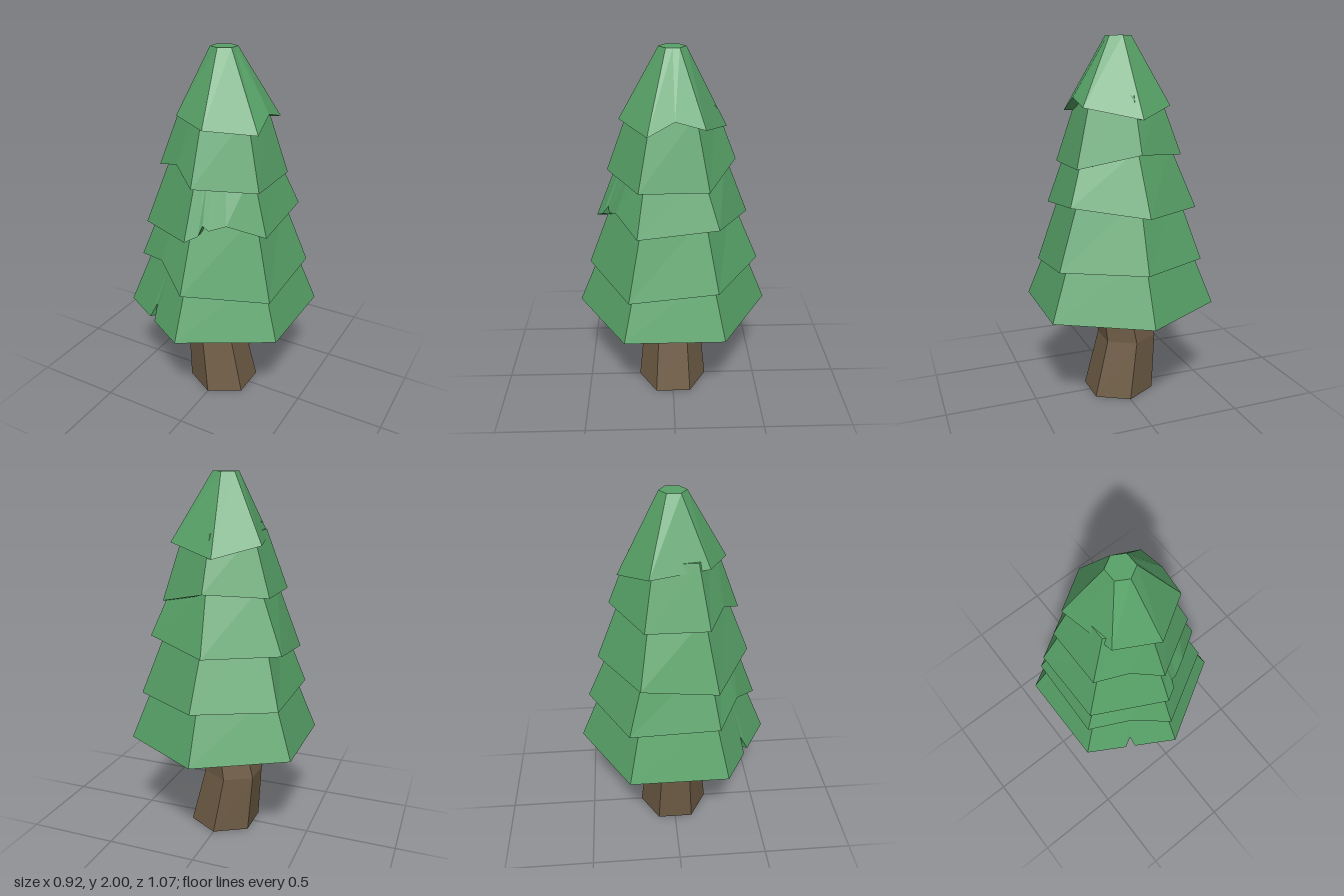
import * as THREE from 'three';

const leafMat = new THREE.MeshStandardMaterial({ color: 0x57a167, flatShading: true, roughness: 1 });
const barkMat = new THREE.MeshStandardMaterial({ color: 0x6e5c45, flatShading: true, roughness: 1 });

// Point on a hexagon outline; u runs 0..6 from the front corner (+z) towards +x
function hex(u, r, y, cx = 0, cz = 0) {
  const corner = k => new THREE.Vector3(Math.sin(k * Math.PI / 3) * r + cx, y, Math.cos(k * Math.PI / 3) * r + cz);
  const k = Math.floor(u);
  return corner(k).lerp(corner(k + 1), u - k);
}

// Skin closed rings in order (an upward order faces outwards)
function loft(name, rings, material) {
  const pos = [];
  const tri = (a, b, c) => {
    const area = b.clone().sub(a).cross(c.clone().sub(a)).length();
    if (area > 1e-7) pos.push(...a, ...b, ...c);
  };
  for (let j = 0; j < rings.length - 1; j++) {
    const lo = rings[j], hi = rings[j + 1], n = lo.length;
    for (let i = 0; i < n; i++) {
      const k = (i + 1) % n;
      tri(lo[i], lo[k], hi[k]);
      tri(lo[i], hi[k], hi[i]);
    }
  }
  const geo = new THREE.BufferGeometry();
  geo.setAttribute('position', new THREE.Float32BufferAttribute(pos, 3));
  geo.computeVertexNormals();
  const mesh = new THREE.Mesh(geo, material);
  mesh.name = name;
  return mesh;
}

// One tier of branches: recessed underside, uneven rim [u, x, y, z], sloping sides, top
function tier(name, r, rim, topR, topY) {
  const us = rim.map(p => p[0]);
  const ceilY = rim[0][2] + 0.1;
  const ring = (radius, y) => us.map(u => hex(u, radius, y));
  return loft(name, [
    ring(0, ceilY),
    ring(r * 0.69, ceilY),
    rim.map(([u, , y]) => hex(u, r * 0.69, y)),
    rim.map(([, x, y, z]) => new THREE.Vector3(x, y, z)),
    ring(topR, topY),
    ring(0, topY),
  ], leafMat);
}

export function createModel() {
  const tree = new THREE.Group();
  tree.name = 'tree';

  // Bent hexagonal trunk: [radius, y, centre x]
  const trunk = [[0, 0, 0], [0.2, 0, 0], [0.167, 0.32, -0.05], [0.135, 0.66, 0.01], [0, 0.66, 0.01]];
  tree.add(loft('trunk', trunk.map(([r, y, cx]) => [0, 1, 2, 3, 4, 5].map(u => hex(u, r, y, cx))), barkMat));

  // Lowest tier with a cut on the front right edge of the tree
  tree.add(tier('bottomBranches', 0.533, [
    [0, 0, 0.55, 0.533], [1, 0.462, 0.55, 0.267], [2, 0.462, 0.55, -0.267],
    [3, 0, 0.55, -0.533], [4, -0.462, 0.55, -0.267], [5, -0.462, 0.55, 0.267],
    [5.44, -0.26, 0.55, 0.383], [5.53, -0.218, 0.64, 0.365], [5.54, -0.213, 0.55, 0.41],
  ], 0.388, 0.9));

  tree.add(tier('lowerBranches', 0.47, [
    [0, 0, 0.8, 0.467], [1, 0.405, 0.757, 0.24], [2, 0.41, 0.81, -0.23],
    [3, 0.015, 0.82, -0.48], [4, -0.388, 0.81, -0.26], [5, -0.405, 0.84, 0.22],
    [5.5, -0.2, 0.9, 0.335],
  ], 0.315, 1.2));

  // Middle tier with a ragged bite on the front left edge of the tree
  tree.add(tier('middleBranches', 0.41, [
    [0, 0, 1.09, 0.415], [0.16, 0.06, 1.122, 0.38], [0.2, 0.07, 1.17, 0.347],
    [0.29, 0.1, 1.145, 0.342], [0.52, 0.18, 1.172, 0.3], [1, 0.352, 1.1, 0.19],
    [2, 0.345, 1.145, -0.23], [3, -0.02, 1.095, -0.413], [4, -0.38, 1.09, -0.195],
    [5, -0.372, 1.045, 0.21],
  ], 0.28, 1.43));

  tree.add(tier('upperBranches', 0.345, [
    [0, 0.005, 1.355, 0.35], [1, 0.3, 1.33, 0.18], [2, 0.293, 1.33, -0.18],
    [3, 0, 1.41, -0.338], [4, -0.3, 1.38, -0.165], [5, -0.3, 1.38, 0.165],
    [5.53, -0.14, 1.43, 0.25],
  ], 0.222, 1.7));

  tree.add(tier('crown', 0.28, [
    [0, 0.03, 1.64, 0.278], [1, 0.265, 1.61, 0.132], [1.5, 0.255, 1.685, -0.005],
    [2, 0.25, 1.64, -0.158], [3, -0.03, 1.58, -0.288], [4, -0.245, 1.64, -0.135],
    [5, -0.185, 1.662, 0.17],
  ], 0.07, 2));

  return tree;
}
